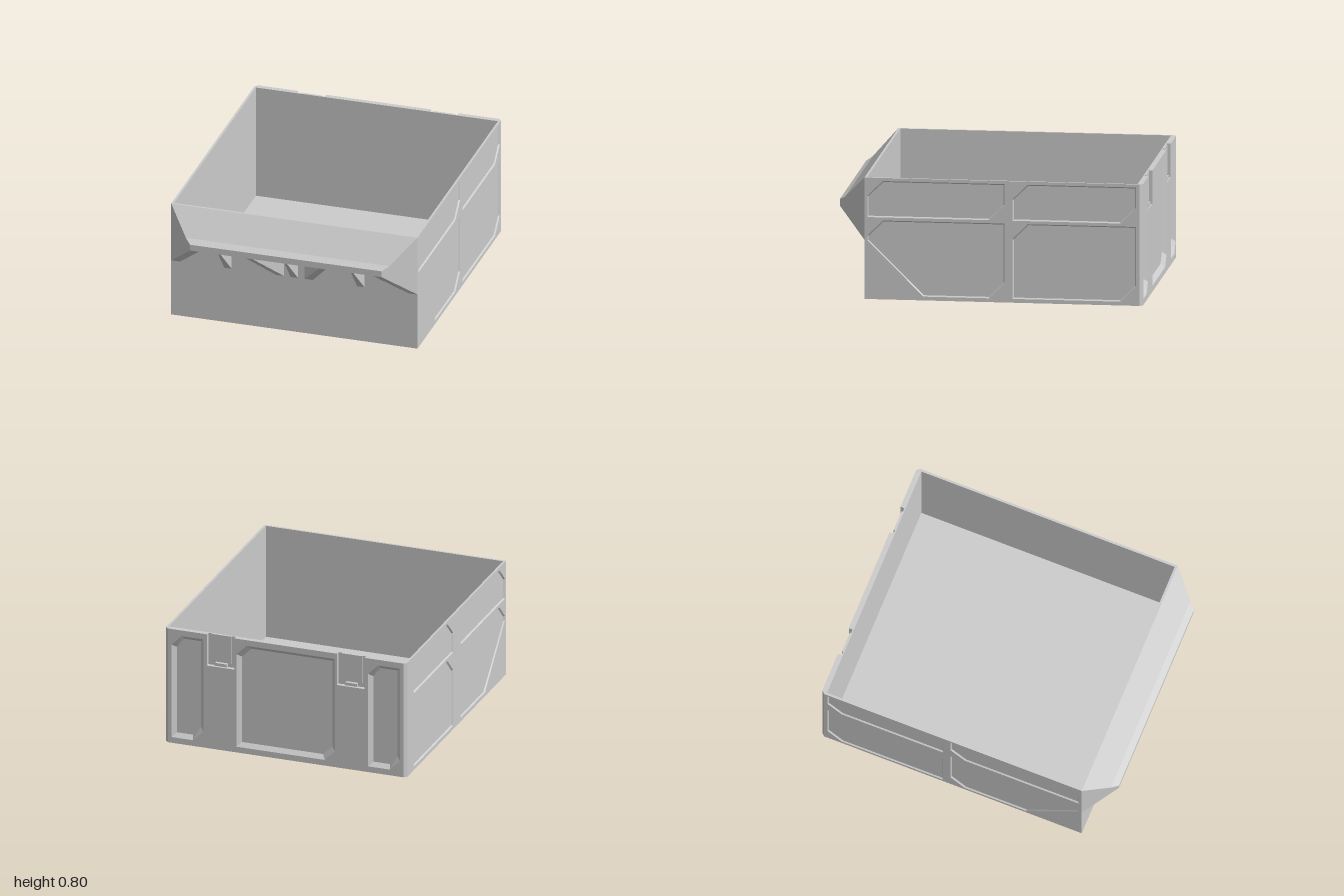
import * as THREE from 'three';
import { ConvexGeometry } from 'three/addons/geometries/ConvexGeometry.js';

const grey = new THREE.MeshStandardMaterial({ color: 0xcccccc, flatShading: true });
const greyThin = new THREE.MeshStandardMaterial({ color: 0xcccccc, flatShading: true, side: THREE.DoubleSide });

function add(parent, name, geometry, material = grey) {
  const mesh = new THREE.Mesh(geometry, material);
  mesh.name = name;
  parent.add(mesh);
  return mesh;
}

// Box given by its min and max on each axis
function slab(parent, name, x0, x1, y0, y1, z0, z1) {
  const mesh = add(parent, name, new THREE.BoxGeometry(x1 - x0, y1 - y0, z1 - z0));
  mesh.position.set((x0 + x1) / 2, (y0 + y1) / 2, (z0 + z1) / 2);
  return mesh;
}

function hull(parent, name, points) {
  return add(parent, name, new ConvexGeometry(points.map((p) => new THREE.Vector3(...p))));
}

const toVectors = (points) => points.map((p) => new THREE.Vector2(...p));

// Rectangle with its top-left and bottom-right corners cut off
const cutPanel = (x0, x1, y0, y1, c) => [
  [x0, y0], [x1 - c, y0], [x1, y0 + c], [x1, y1], [x0 + c, y1], [x0, y1 - c],
];

// Sloping rim of a recess, from its outline down to a smaller outline
function bevelRim(points, depth, inset) {
  const box = new THREE.Box2().setFromPoints(toVectors(points));
  const c = box.getCenter(new THREE.Vector2());
  const s = box.getSize(new THREE.Vector2());
  const kx = 1 - (2 * inset) / s.x, ky = 1 - (2 * inset) / s.y;
  const pos = [];
  points.forEach((a, i) => {
    const b = points[(i + 1) % points.length];
    const inner = (p) => [c.x + (p[0] - c.x) * kx, c.y + (p[1] - c.y) * ky, 0];
    const A = [...a, depth], B = [...b, depth], C = inner(b), D = inner(a);
    pos.push(...A, ...B, ...C, ...A, ...C, ...D);
  });
  const g = new THREE.BufferGeometry();
  g.setAttribute('position', new THREE.Float32BufferAttribute(pos, 3));
  g.computeVertexNormals();
  return g;
}

// Outer wall skin with recessed panels; its outer face looks along local +z
function panelWall(name, outline, panels, depth, inset) {
  const wall = new THREE.Group();
  wall.name = name;
  const shape = new THREE.Shape(toVectors(outline));
  panels.forEach((p) => shape.holes.push(new THREE.Path(toVectors(p))));
  add(wall, name + 'Skin', new THREE.ExtrudeGeometry(shape, { depth, bevelEnabled: false }));
  panels.forEach((p) => add(wall, name + 'PanelRim', bevelRim(p, depth, inset), greyThin));
  return wall;
}

export function createModel() {
  const model = new THREE.Group();
  model.name = 'storageBin';

  // Inner tub
  slab(model, 'floor', -0.826, 0.826, 0, 0.02, -0.973, 0.815);
  slab(model, 'frontWall', -0.826, 0.826, 0, 0.8, 0.8, 0.815);
  slab(model, 'backInnerWall', -0.826, 0.826, 0, 0.8, -0.973, -0.965);

  // Side walls with four shallow panels each
  const sidePanels = [
    cutPanel(-0.796, 0.1, 0.54, 0.78, 0.1),
    cutPanel(0.15, 0.957, 0.54, 0.78, 0.1),
    cutPanel(0.15, 0.957, 0.025, 0.52, 0.1),
    [[-0.43, 0.025], [0, 0.025], [0.1, 0.125], [0.1, 0.52], [-0.695, 0.52], [-0.796, 0.42], [-0.796, 0.39]],
  ];
  const sideOutline = [[-0.815, 0], [0.98, 0], [0.98, 0.8], [-0.815, 0.8]];
  for (const s of [1, -1]) {
    const flip = (pts) => pts.map(([x, y]) => [s * x, y]);
    const side = panelWall(s > 0 ? 'leftWall' : 'rightWall', flip(sideOutline), sidePanels.map(flip), 0.009, 0.008);
    side.rotation.y = (s * Math.PI) / 2;
    side.position.x = s * 0.826;
    model.add(side);
    slab(model, 'sideInnerWall', s * 0.823 - 0.003, s * 0.823 + 0.003, 0, 0.8, -0.973, 0.8);

    // Chamfered rear corner post
    const plan = [[0.81, -1], [0.815, -1], [0.835, -0.98], [0.826, -0.968], [0.81, -0.968]];
    hull(model, 'rearCornerPost', [0, 0.8].flatMap((y) => plan.map(([x, z]) => [s * x, y, z])));
  }

  // Back wall with three deep panels and two latch notches in its top edge
  const back = panelWall('backWall', [
    [-0.812, 0], [0.812, 0], [0.812, 0.8],
    [0.545, 0.8], [0.545, 0.58], [0.355, 0.58], [0.355, 0.8],
    [-0.355, 0.8], [-0.355, 0.58], [-0.545, 0.58], [-0.545, 0.8], [-0.812, 0.8],
  ], [
    cutPanel(-0.34, 0.34, 0.04, 0.76, 0.07),
    cutPanel(-0.79, -0.57, 0.04, 0.76, 0.07),
    cutPanel(0.57, 0.79, 0.04, 0.76, 0.07),
  ], 0.027, 0.027);
  back.rotation.y = Math.PI;
  back.position.z = -0.973;
  model.add(back);
  for (const x of [-0.45, 0.45]) {
    slab(model, 'latchTab', x - 0.07, x + 0.07, 0.61, 0.8, -0.982, -0.972);
    slab(model, 'latchLedge', x - 0.04, x + 0.04, 0.585, 0.605, -0.995, -0.972);
  }

  // Front hood: sloping plate in two steps, [z, top, bottom, half width]
  const hood = [[0.815, 0.8, 0.755, 0.835], [0.96, 0.642, 0.612, 0.69], [1, 0.617, 0.575, 0.65]];
  for (let i = 0; i < 2; i++) {
    hull(model, 'hoodPlate', [hood[i], hood[i + 1]].flatMap(([z, top, bottom, w]) =>
      [[-w, top, z], [w, top, z], [-w, bottom, z], [w, bottom, z]]));
  }

  // Upright web under the hood, from a wall span to a tip span in x
  const web = (name, a, b, c, d) => hull(model, name, [
    [a, 0.39, 0.815], [b, 0.39, 0.815], [a, 0.77, 0.815], [b, 0.77, 0.815],
    [c, 0.575, 1], [d, 0.575, 1], [c, 0.59, 1], [d, 0.59, 1],
  ]);
  web('centreRib', -0.025, 0.025, -0.008, 0.008);
  for (const s of [1, -1]) {
    web('hoodCheek', s * 0.835, s * 0.775, s * 0.65, s * 0.59);
    web('straightRib', s * 0.425, s * 0.475, s * 0.442, s * 0.458);
    web('slantedRib', s * 0.07, s * 0.125, s * 0.225, s * 0.27);
  }
  return model;
}
